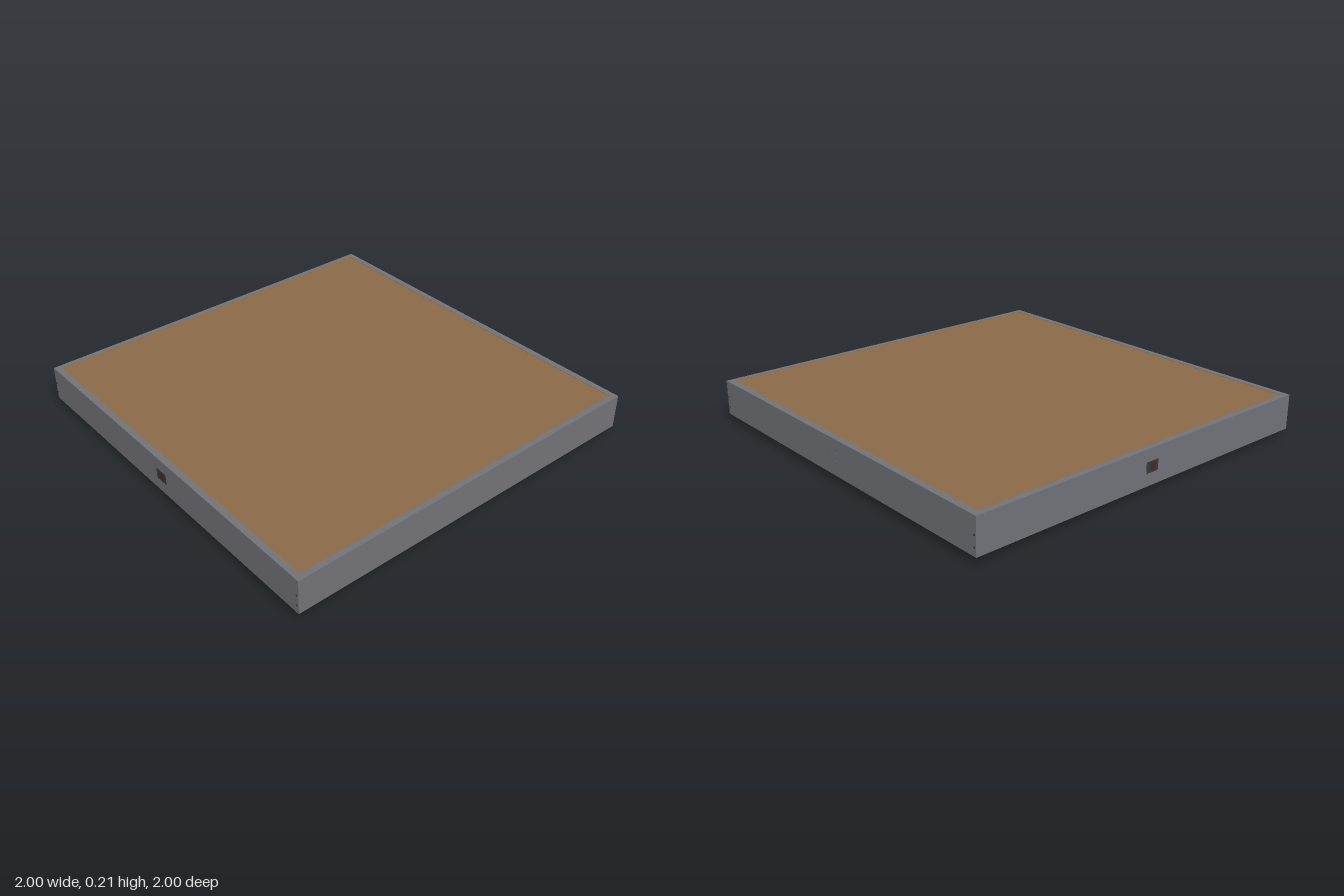
import * as THREE from 'three';

const mat = (name, color) => {
  const m = new THREE.MeshStandardMaterial({ color });
  m.name = name;
  return m;
};

export function createModel() {
  const steel = mat('grey metal', 0x717277);
  const wood = mat('plywood', 0x8a6a48);
  const under = mat('dark underside', 0x2a2220);
  const plateMat = mat('slate plate', 0x3a454b);
  const dark = mat('dark metal', 0x38383b);
  const red = mat('dark red', 0x4a2522);

  const model = new THREE.Group();
  model.name = 'stagePlatform';

  const add = (parent, name, geometry, material, x, y, z) => {
    const mesh = new THREE.Mesh(geometry, material);
    mesh.name = name;
    mesh.position.set(x, y, z);
    parent.add(mesh);
    return mesh;
  };
  const box = (parent, name, material, w, h, d, x, y, z) =>
    add(parent, name, new THREE.BoxGeometry(w, h, d), material, x, y, z);

  // Square ring lying flat, from y0 to y1
  const ring = (name, outer, innerX, innerZ, y0, y1) => {
    const rect = (s, a, b) => s.moveTo(-a, -b).lineTo(a, -b).lineTo(a, b).lineTo(-a, b).closePath();
    const shape = rect(new THREE.Shape(), outer, outer);
    shape.holes.push(rect(new THREE.Path(), innerX, innerZ));
    const geo = new THREE.ExtrudeGeometry(shape, { depth: y1 - y0, bevelEnabled: false });
    geo.rotateX(-Math.PI / 2);
    add(model, name, geo, steel, 0, y0, 0);
  };

  // Perimeter rails with an inward bottom flange
  ring('outerFrame', 1, 0.967, 0.972, 0.03, 0.21);
  ring('bottomFlange', 0.972, 0.875, 0.888, 0.03, 0.06);

  // Deck panel and its dark lower face
  box(model, 'deckPanel', wood, 1.934, 0.018, 1.944, 0, 0.199, 0);
  box(model, 'deckUnderside', under, 1.934, 0.006, 1.944, 0, 0.187, 0);

  // Central support beam
  box(model, 'centreBeam', steel, 0.08, 0.095, 1.944, 0, 0.1365, 0);

  // Foot bracket with a guide pad, a hook and a dark red lever
  const makeFoot = (sx, z) => {
    const foot = new THREE.Group();
    foot.name = 'footBracket';
    foot.position.set(sx * 0.8375, 0, z);
    foot.scale.x = 1;
    box(foot, 'footPlate', dark, 0.1, 0.006, 0.10, 0, 0.027, 0.01);
    for (const dz of [-0.045, 0, 0.075]) {
      box(foot, 'footRib', dark, 0.13, 0.015, 0.018, 0, 0.0225, dz);
    }
    box(foot, 'innerRail', dark, 0.018, 0.015, 0.13, -sx * 0.05, 0.0225, 0.015);
    box(foot, 'lever', red, 0.024, 0.026, 0.13, sx * 0.0555, 0.013, -0.02);
    box(foot, 'leverCap', dark, 0.025, 0.012, 0.131, sx * 0.0555, 0.024, -0.02);
    model.add(foot);
  };

  for (const sx of [-1, 1]) {
    makeFoot(sx, 0.805);
    makeFoot(sx, -0.855);
    for (const sz of [-1, 1]) {
      // Corner plate below the deck and diagonal brace
      box(model, 'cornerPlate', plateMat, 0.32, 0.008, 0.32, sx * 0.805, 0.18, sz * 0.81);
      const brace = box(model, 'cornerBrace', steel, 0.42, 0.05, 0.02, sx * 0.765, 0.085, sz * 0.755);
      brace.rotation.y = sx * sz * Math.PI / 4;

      // Small screws near the ends of the side rails
      for (const y of [0.07, 0.125]) {
        const screw = add(model, 'railScrew', new THREE.CylinderGeometry(0.005, 0.005, 0.003, 10),
          dark, sx * 0.9995, y, sz * 0.988);
        screw.rotation.z = Math.PI / 2;
      }
    }
  }

  // Coupling points in the middle of each rail: sockets at back and right, studs at front and left
  for (let i = 0; i < 4; i++) {
    const side = new THREE.Group();
    side.name = 'couplingPoint';
    side.rotation.y = i * Math.PI / 2;
    model.add(side);
    if (i >= 2) {
      box(side, 'socketPlate', dark, 0.075, 0.055, 0.003, 0, 0.12, 0.9995);
      box(side, 'socketLatch', red, 0.03, 0.035, 0.003, 0.005, 0.12, 1.0005);
    } else {
      for (const dx of [-0.02, 0.02]) for (const dy of [-0.018, 0.018]) {
        const stud = add(side, 'couplingStud', new THREE.CylinderGeometry(0.006, 0.006, 0.004, 12),
          steel, dx, 0.12 + dy, 0.9995);
        stud.rotation.x = Math.PI / 2;
      }
    }
  }
  return model;
}
